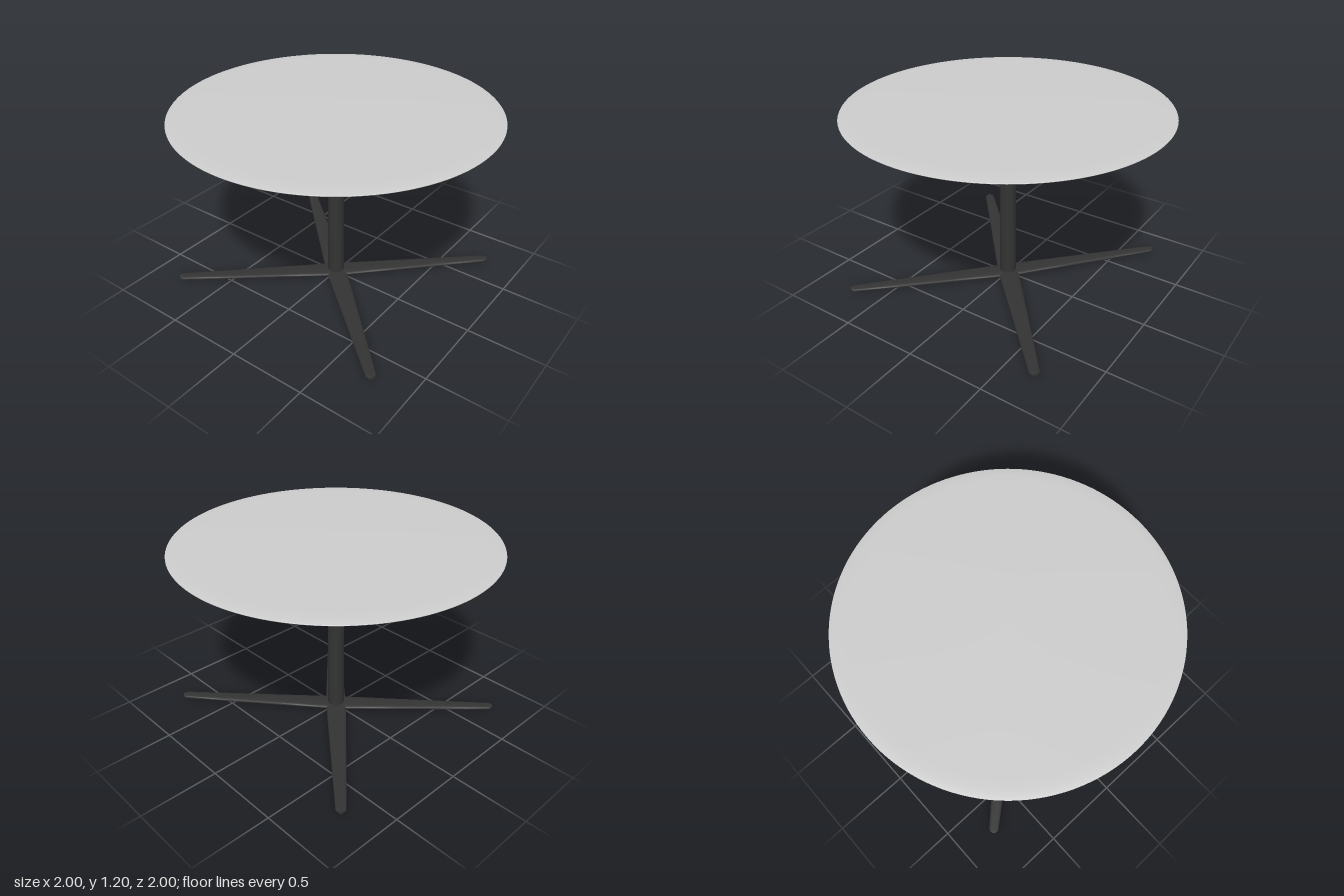
import * as THREE from 'three';
import { toCreasedNormals } from 'three/addons/utils/BufferGeometryUtils.js';

const LEG_X = 0.685, LEG_Z = 0.75, TIP_R = 0.032, HUB_HALF = 0.068;
const LEG_LEN = Math.hypot(LEG_X, LEG_Z) + TIP_R;
const SIDES = 24;

// Tapered blade along +x: rounded cross-sections, semicircular tip, rising gently outward
function legGeometry() {
  const stations = [0, 0.1, 0.25, 0.4, 0.55, 0.7, 0.85, 0.97].map((t) => t * (LEG_LEN - TIP_R));
  for (let i = 0; i <= 8; i++) stations.push(LEG_LEN - TIP_R + TIP_R * Math.sin((i / 8) * Math.PI / 2));
  const pos = [], idx = [];
  const soft = (v, p) => Math.sign(v) * Math.abs(v) ** p;
  for (const x of stations) {
    const t = x / LEG_LEN;
    const over = Math.max(0, (x - (LEG_LEN - TIP_R)) / TIP_R);
    const half = THREE.MathUtils.lerp(HUB_HALF, TIP_R, Math.min(1, x / (LEG_LEN - TIP_R)))
      * Math.sqrt(Math.max(0.0004, 1 - over * over));
    const mid = 0.015 + 0.017 * t;
    const thick = 0.015 - 0.003 * t;
    for (let j = 0; j < SIDES; j++) {
      const a = (j / SIDES) * Math.PI * 2;
      pos.push(x, mid + thick * soft(Math.sin(a), 0.75), half * soft(Math.cos(a), 0.75));
    }
  }
  for (let i = 0; i < stations.length - 1; i++) {
    for (let j = 0; j < SIDES; j++) {
      const a = i * SIDES + j, b = i * SIDES + (j + 1) % SIDES;
      idx.push(a, a + SIDES, b, b, a + SIDES, b + SIDES);
    }
  }
  // Close the tip
  const last = (stations.length - 1) * SIDES;
  for (let j = 1; j < SIDES - 1; j++) idx.push(last, last + j + 1, last + j);
  const geo = new THREE.BufferGeometry();
  geo.setAttribute('position', new THREE.Float32BufferAttribute(pos, 3));
  geo.setIndex(idx);
  return toCreasedNormals(geo, 0.7);
}

// Solid of revolution from [radius, height] pairs, bottom to top
function lathe(points, segments) {
  const geo = new THREE.LatheGeometry(points.map(([r, y]) => new THREE.Vector2(r, y)), segments);
  return toCreasedNormals(geo, 0.6);
}

export function createModel() {
  const model = new THREE.Group();
  model.name = 'pedestalTable';
  const light = new THREE.MeshStandardMaterial({ color: 0xcccccc });
  const dark = new THREE.MeshStandardMaterial({ color: 0x333333, side: THREE.DoubleSide });

  const add = (name, geo, mat) => {
    const mesh = new THREE.Mesh(geo, mat);
    mesh.name = name;
    model.add(mesh);
    return mesh;
  };

  // Thin round top with a softened edge
  add('tableTop', lathe([
    [0, 1.174], [0.9, 1.175], [0.95, 1.177], [0.985, 1.181], [0.998, 1.185], [1, 1.188],
    [0.998, 1.191], [0.985, 1.194], [0.95, 1.197], [0.9, 1.199], [0, 1.2],
  ], 128), light);

  // Central column, very slightly thicker at the foot
  add('column', lathe([[0, 0.01], [0.053, 0.01], [0.053, 0.2], [0.049, 1.178], [0, 1.178]], 48), dark);

  // Hub joining the legs
  add('hub', lathe([[0, 0], [0.055, 0.001], [0.07, 0.008], [0.07, 0.022], [0.055, 0.03], [0, 0.031]], 48), dark);

  // Four legs on the diagonals
  const leg = legGeometry();
  for (const sx of [1, -1]) {
    for (const sz of [1, -1]) {
      const name = (sz > 0 ? 'front' : 'back') + (sx > 0 ? 'Left' : 'Right') + 'Leg';
      add(name, leg, dark).rotation.y = Math.atan2(-sz * LEG_Z, sx * LEG_X);
    }
  }
  return model;
}
